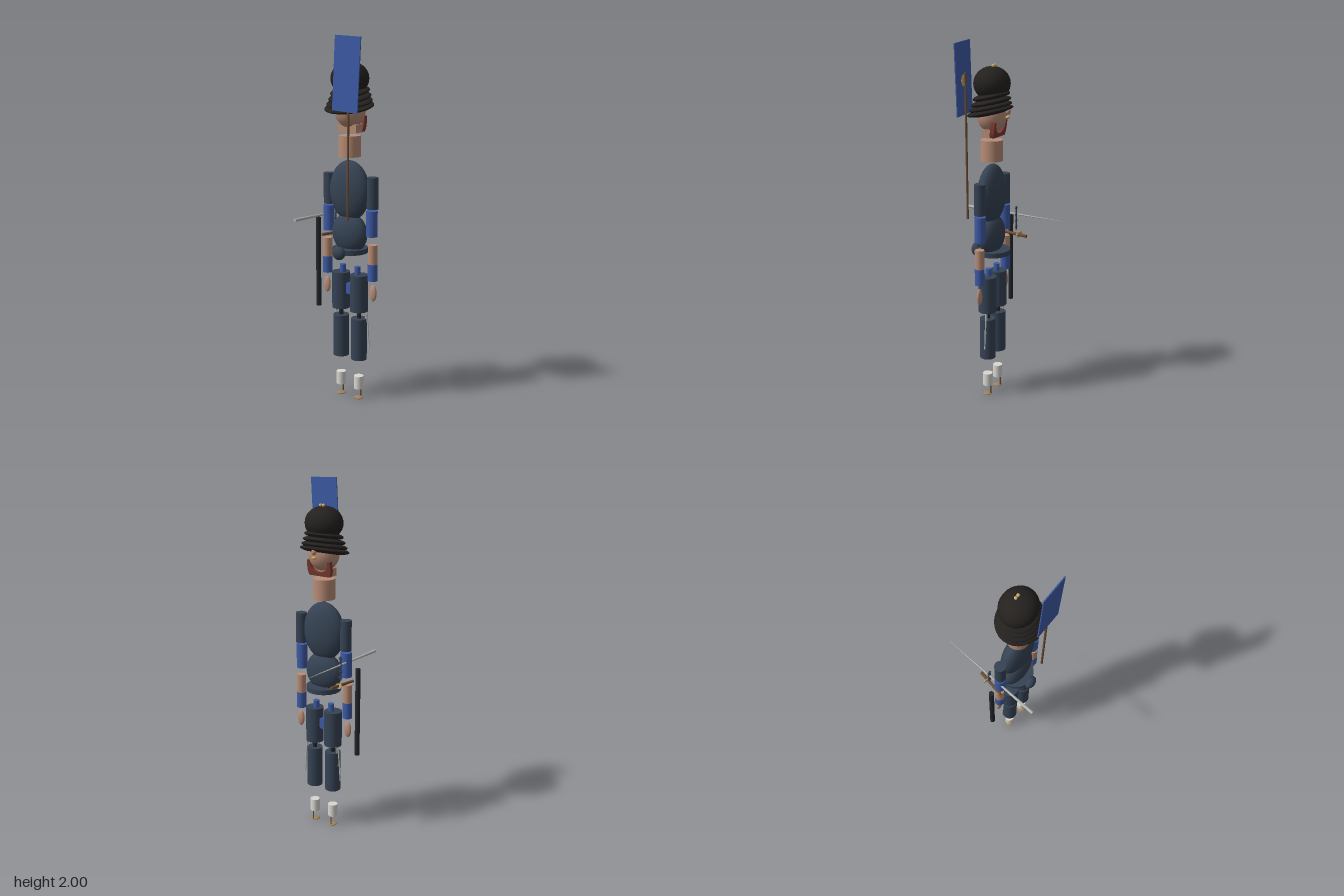
import * as THREE from 'three';

const mat = (color) => new THREE.MeshStandardMaterial({ color });
const M = {
  navy: mat(0x364354), blue: mat(0x3d5ba6), skin: mat(0xb88c76), hat: mat(0x24211f),
  red: mat(0x7d3a30), gold: mat(0xc9a968), wood: mat(0x6e4d33), steel: mat(0xb4b4b0),
  black: mat(0x22262a), white: mat(0xdad8d2), sole: mat(0x9c8262),
};
const CX = 0.025, CZ = 0.057; // axis of the body

export function createModel() {
  const root = new THREE.Group();
  const add = (name, geo, material, x, y, z) => {
    const m = new THREE.Mesh(geo, material);
    m.name = name;
    m.position.set(x, y, z);
    root.add(m);
    return m;
  };
  const ball = (name, material, x, y, z, rx, ry = rx, rz = rx) => {
    const m = add(name, new THREE.SphereGeometry(1, 28, 18), material, x, y, z);
    m.scale.set(rx, ry, rz);
    return m;
  };
  // upright cylinder between two heights
  const post = (name, material, x, z, y0, y1, r) =>
    add(name, new THREE.CylinderGeometry(r, r, y1 - y0, 24), material, x, (y0 + y1) / 2, z);
  // tapered rod between two points
  const rod = (name, material, a, b, ra, rb = ra) => {
    const p = new THREE.Vector3(...a), q = new THREE.Vector3(...b), d = q.clone().sub(p);
    const mid = p.clone().add(q).multiplyScalar(0.5);
    const m = add(name, new THREE.CylinderGeometry(rb, ra, d.length(), 12), material, mid.x, mid.y, mid.z);
    m.quaternion.setFromUnitVectors(new THREE.Vector3(0, 1, 0), d.normalize());
    return m;
  };

  // Helmet: dome over stacked, tilted brims
  ball('helmetDome', M.hat, 0.024, 1.772, 0.057, 0.106, 0.09, 0.097);
  [[1.705, 0.109, 0.1, 0.06], [1.675, 0.119, 0.107, 0.062], [1.648, 0.129, 0.114, 0.065], [1.625, 0.139, 0.122, 0.067]]
    .forEach(([y, rx, rz, z]) => { ball('helmetBrim', M.hat, 0.027, y, z, rx, 0.022, rz).rotation.x = 0.22; });
  for (const x of [0.018, 0.036]) ball('helmetOrnament', M.gold, x, 1.866, 0.043, 0.009);

  // Head, jaw, beard and nose; the face looks toward -z
  ball('head', M.skin, CX, 1.61, CZ, 0.087, 0.097, 0.08);
  add('jaw', new THREE.BoxGeometry(0.125, 0.045, 0.06), M.skin, CX, 1.513, 0.055);
  const u = new THREE.Shape();
  u.moveTo(-0.072, 0.085);
  u.quadraticCurveTo(-0.078, 0.02, -0.064, 0);
  u.lineTo(0.064, 0);
  u.quadraticCurveTo(0.078, 0.02, 0.072, 0.085);
  u.lineTo(0.058, 0.085);
  u.quadraticCurveTo(0.055, 0.025, 0, 0.02);
  u.quadraticCurveTo(-0.055, 0.025, -0.058, 0.085);
  const beard = add('beard', new THREE.ExtrudeGeometry(u, { depth: 0.024, bevelEnabled: false, curveSegments: 10 }),
    M.red, CX, 1.492, 0.014);
  beard.rotation.x = -0.15;
  ball('nose', M.skin, CX, 1.632, -0.038, 0.014, 0.018, 0.014);
  ball('noseTip', M.gold, CX, 1.6, -0.036, 0.014, 0.008, 0.012);
  post('neck', M.skin, CX, 0.059, 1.36, 1.473, 0.061);

  // Torso and belt
  ball('chest', M.navy, CX, 1.175, 0.06, 0.127, 0.165, 0.062);
  ball('waist', M.navy, CX, 0.942, 0.06, 0.112, 0.112, 0.06);
  post('belt', M.navy, CX, 0.055, 0.835, 0.862, 0.097);
  ball('beltPouch', M.navy, CX, 0.846, 0.156, 0.039, 0.037, 0.027);

  // Arms: stacked sleeve, forearm, cuff and hand
  for (const s of [-1, 1]) {
    const ax = s < 0 ? -0.12 : 0.174, fx = s < 0 ? -0.132 : 0.178;
    post('upperArm', M.navy, ax, 0.055, 1.09, 1.26, 0.031);
    post('lowerSleeve', M.blue, ax - 0.003, 0.056, 0.94, 1.08, 0.031);
    post('forearm', M.skin, fx, CZ, 0.79, 0.896, 0.026);
    post('cuff', M.blue, fx, CZ, 0.698, 0.79, 0.027);
    ball('hand', M.skin, fx + s * 0.004, 0.628, CZ, 0.022, 0.046, 0.012);
  }

  // Legs: hip peg, thigh, shin, gaiter, ankle and sole
  for (const s of [-1, 1]) {
    const x = CX + s * 0.062;
    post('hipPeg', M.blue, CX + s * 0.05, CZ, 0.7, 0.76, 0.017);
    post('thigh', M.navy, x, 0.058, 0.512, 0.717, 0.05);
    post('kneePeg', M.black, x, CZ, 0.46, 0.52, 0.012);
    post('shin', M.navy, x, 0.058, 0.235, 0.47, 0.044);
    post('gaiter', M.white, x, 0.059, 0.062, 0.135, 0.027);
    post('ankle', M.wood, x, 0.041, 0.006, 0.065, 0.004);
    ball('sole', M.sole, x, 0.007, 0.06, 0.027, 0.007, 0.026);
    // thin cords hanging outside the knee
    rod('legCord', M.steel, [CX + s * 0.105, 0.53, 0.045], [CX + s * 0.122, 0.305, 0.045], 0.004);
    rod('legCord', M.steel, [CX + s * 0.098, 0.53, 0.045], [CX + s * 0.1, 0.39, 0.045], 0.004);
  }
  add('crotchPiece', new THREE.BoxGeometry(0.035, 0.06, 0.035), M.blue, CX, 0.63, CZ);

  // Scabbard and sword
  post('scabbard', M.black, -0.2, 0.055, 0.49, 1.0, 0.014);
  rod('swordBlade', M.steel, [-0.159, 1.028, 0.302], [-0.107, 1.028, -0.303], 0.009, 0.001);
  rod('swordGrip', M.wood, [-0.152, 0.912, 0.08], [-0.115, 0.912, -0.083], 0.008, 0.009);
  const guard = rod('swordGuard', M.gold, [-0.132, 0.912, -0.029], [-0.131, 0.912, -0.033], 0.026);
  guard.scale.z = 0.6;
  rod('swordHanger', M.navy, [-0.13, 0.94, -0.013], [-0.13, 1.075, -0.013], 0.005);
  for (let i = 0; i < 4; i++) ball('hangerLink', M.navy, -0.13, 0.955 + i * 0.036, -0.013, 0.013, 0.006, 0.006);

  // Flag on its pole, with a round emblem on the inner face
  rod('flagPole', M.wood, [0.096, 1.035, 0.172], [0.105, 1.83, 0.172], 0.006);
  const flag = add('flag', new THREE.BoxGeometry(0.164, 0.384, 0.006), M.blue, 0.101, 1.8, 0.186);
  flag.rotation.z = -0.057;
  ball('flagEmblem', M.gold, 0.102, 1.79, 0.182, 0.028, 0.032, 0.004);

  return root;
}
